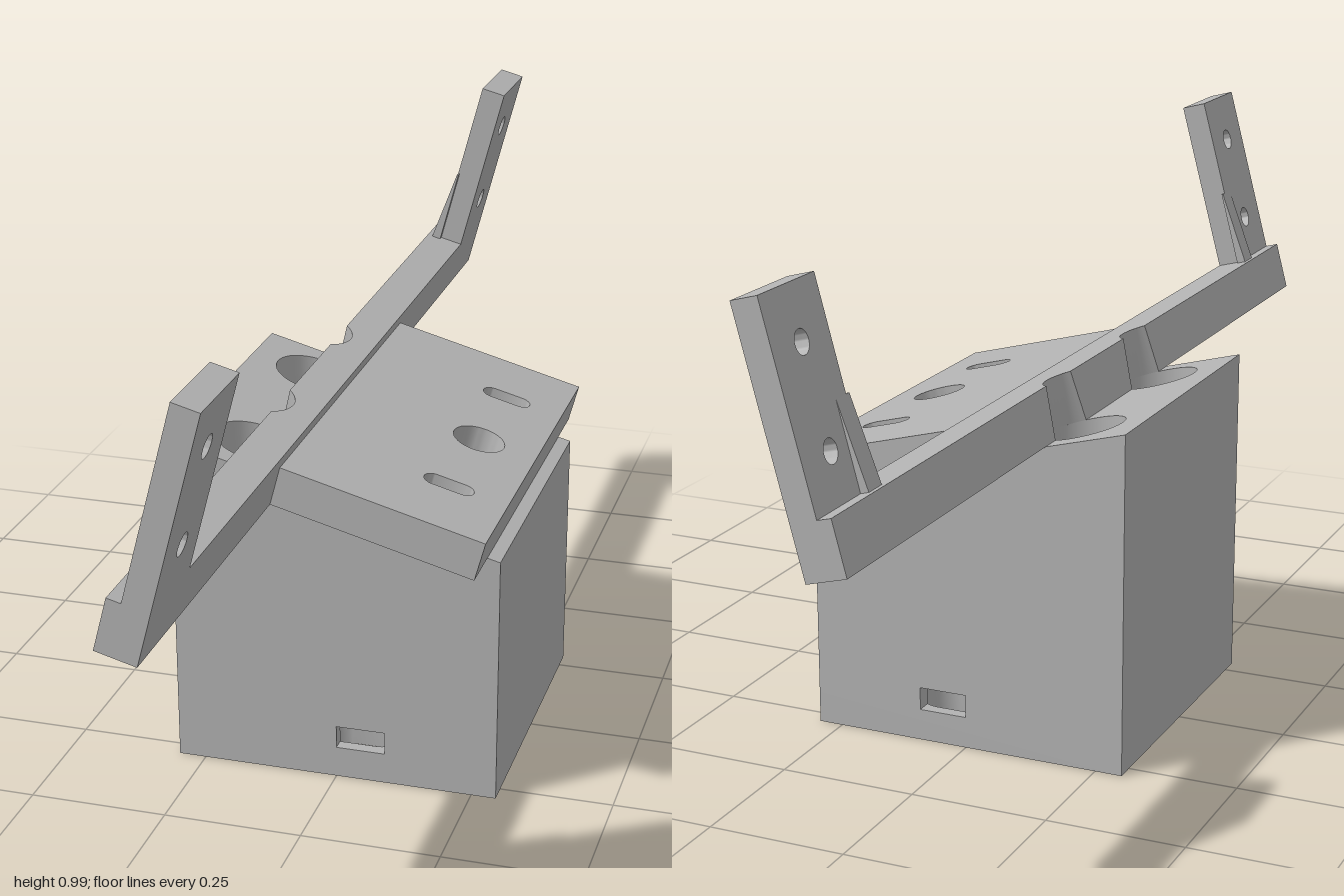
import * as THREE from 'three';
import { toCreasedNormals } from 'three/addons/utils/BufferGeometryUtils.js';

const TILT = THREE.MathUtils.degToRad(15);
const V = (x, y) => new THREE.Vector2(x, y);
const rect = (x0, y0, x1, y1) => [V(x0, y0), V(x1, y0), V(x1, y1), V(x0, y1)];

// Rounded slot outline along x; a plain circle when length equals width
function slot(cx, cy, length, width, n = 40) {
  const r = width / 2, d = (length - width) / 2;
  return Array.from({ length: n }, (_, i) => {
    const a = ((i + 0.5) / n) * Math.PI * 2;
    return V(cx + Math.sign(Math.cos(a)) * d + r * Math.cos(a), cy + r * Math.sin(a));
  });
}
const circle = (cx, cy, r) => slot(cx, cy, 2 * r, 2 * r);

function extrude(outline, holes, depth) {
  const shape = new THREE.Shape(outline);
  shape.holes = holes.map((h) => new THREE.Path(h));
  return new THREE.ExtrudeGeometry(shape, { depth, bevelEnabled: false });
}

// Outline in x and z, raised along y
const raise = (outline, holes, depth) => extrude(outline, holes, depth).rotateX(-Math.PI / 2);

export function createModel() {
  const grey = new THREE.MeshStandardMaterial({ color: 0xb2b2b2 });
  grey.name = 'grey';
  const model = new THREE.Group();
  const add = (parent, name, geometry) => {
    const mesh = new THREE.Mesh(toCreasedNormals(geometry, 0.5), grey);
    mesh.name = name;
    parent.add(mesh);
    return mesh;
  };

  // Base block: stacked layers with shafts, pockets and a cross slot
  const X0 = -0.3, X1 = 0.295, Z = 0.285;
  const slotX0 = 0, slotX1 = 0.09, slotY0 = 0.058, slotY1 = 0.1, pocketTop = 0.38;
  const shafts = [-1, 1].map((s) => circle(-0.18, s * 0.176, 0.072));
  const screws = [-1, 1].map((s) => circle(0.225, s * 0.118, 0.026));
  const sidePockets = [-1, 1].map((s) => slot(0.036, s * 0.212, 0.16, 0.1));
  const core = circle(0.033, 0, 0.078);
  // Central pocket with two key notches
  const keyed = core.flatMap((p, i) => {
    const inKey = (q) => Math.abs(q.x - 0.045) < 0.022;
    if (!inKey(p)) return [p];
    const out = [V(p.x, Math.sign(p.y) * 0.105)];
    if (!inKey(core[(i + core.length - 1) % core.length])) out.unshift(p);
    if (!inKey(core[(i + 1) % core.length])) out.push(p);
    return out;
  });
  const block = new THREE.Group();
  block.name = 'baseBlock';
  model.add(block);
  const full = rect(X0, -Z, X1, Z);
  const pockets = [...shafts, ...screws, ...sidePockets, keyed];
  add(block, 'blockFloor', raise(full, pockets, slotY0));

  // Block halves on each side of the cross slot, bitten by the pockets
  const half = (edge, outer, side) => {
    const pts = [V(outer, -Z), V(edge, -Z)];
    for (const hole of [sidePockets[0], core, sidePockets[1]]) {
      const arc = hole.filter((p) => (p.x - edge) * side > 0).sort((a, b) => a.y - b.y);
      pts.push(V(edge, arc[0].y), ...arc, V(edge, arc[arc.length - 1].y));
    }
    return [...pts, V(edge, Z), V(outer, Z)];
  };
  add(block, 'slotLayerRight', raise(half(slotX0, X0, -1), shafts, slotY1 - slotY0)).position.y = slotY0;
  add(block, 'slotLayerLeft', raise(half(slotX1, X1, 1), screws, slotY1 - slotY0)).position.y = slotY0;
  add(block, 'blockMiddle', raise(full, pockets, pocketTop - slotY1)).position.y = slotY1;

  // Sloped top of the block
  const top = raise(full, shafts, 0.1);
  const pos = top.attributes.position;
  for (let i = 0; i < pos.count; i++) {
    const x = pos.getX(i);
    const y = pos.getY(i) > 0.05 ? 0.582 - Math.tan(TILT) * (x + 0.155) : pocketTop;
    pos.setY(i, y);
  }
  add(block, 'blockTop', top);

  // Everything on the slope lives in one tilted group
  const bracket = new THREE.Group();
  bracket.name = 'tiltedBracket';
  bracket.position.set(-0.155, 0.582, 0);
  bracket.rotation.z = -TILT;
  model.add(bracket);
  const barW = 0.0715, barH = 0.093;

  // Cross bar, with two bites where the vertical shafts pass
  const barOutline = (v) => {
    const cu = (-0.025 - Math.sin(TILT) * v) / Math.cos(TILT);
    const ru = 0.072 / Math.cos(TILT), tm = Math.acos(-cu / ru);
    const pts = [V(barW, -1), V(barW, 1), V(0, 1)];
    for (const s of [1, -1]) {
      for (let i = 0; i <= 20; i++) {
        const t = tm * (1 - i / 10);
        pts.push(V(cu + ru * Math.cos(t), s * 0.176 + 0.072 * Math.sin(t)));
      }
    }
    return [...pts, V(0, -1)];
  };
  const low = barOutline(0), high = barOutline(barH);
  const bar = extrude(low, [], barH);
  const bp = bar.attributes.position;
  for (let i = 0; i < bp.count; i++) {
    if (bp.getZ(i) < barH / 2) continue;
    const p = V(bp.getX(i), bp.getY(i));
    let k = 0;
    low.forEach((q, j) => { if (q.distanceTo(p) < low[k].distanceTo(p)) k = j; });
    bp.setXY(i, high[k].x, high[k].y);
  }
  add(bracket, 'crossBar', bar.rotateX(-Math.PI / 2));

  // Mounting plate with a round hole and two slots
  const plateHoles = [circle(0.333, 0, 0.048), slot(0.333, 0.215, 0.092, 0.04), slot(0.333, -0.215, 0.092, 0.04)];
  add(bracket, 'mountingPlate', raise(rect(barW, -0.378, 0.442, 0.378), plateHoles, 0.072));

  // End uprights with screw holes, each with a rear rib
  const upU = 0.0245;
  for (const s of [-1, 1]) {
    const holes = [0.174, 0.341].map((v) => circle(s * 0.915, v, 0.02));
    const upright = extrude(rect(s * 0.832, barH, s, 0.43), holes, barW - upU).rotateY(Math.PI / 2);
    add(bracket, 'upright', upright).position.x = upU;
    const rib = extrude([V(0.01, barH), V(upU + 0.003, barH), V(upU + 0.003, 0.24), V(upU, 0.24)], [], 0.042);
    add(bracket, 'rib', rib).position.z = s > 0 ? 0.822 : -0.864;
  }
  return model;
}
